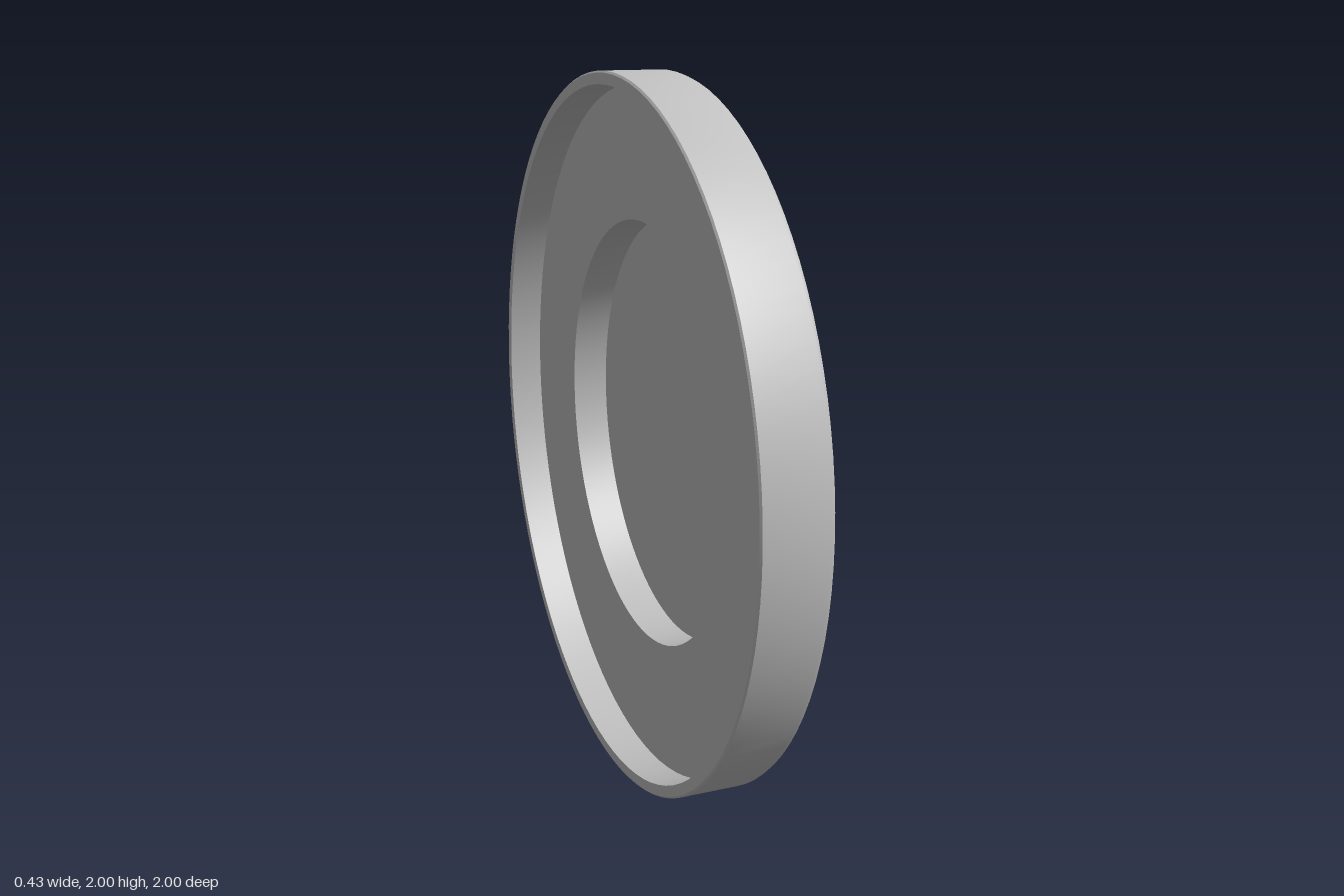
import * as THREE from 'three';
import { toCreasedNormals } from 'three/addons/utils/BufferGeometryUtils.js';

const SEG = 96;

export function createModel() {
  const model = new THREE.Group();
  const disc = new THREE.Group();
  disc.name = 'disc';
  disc.position.y = 1;
  model.add(disc);

  const steel = new THREE.MeshStandardMaterial({ color: 0xbfbfbf });
  steel.name = 'steel grey';

  function add(name, geometry) {
    const mesh = new THREE.Mesh(geometry, steel);
    mesh.name = name;
    disc.add(mesh);
    return mesh;
  }

  // Turned surface around the x axis from [radius, x] points
  function turned(profile, segments = SEG) {
    const points = profile.map(([r, x]) => new THREE.Vector2(r, x));
    const geometry = new THREE.LatheGeometry(points, segments);
    geometry.rotateZ(-Math.PI / 2);
    return toCreasedNormals(geometry, 0.5);
  }

  // Centres of evenly spaced holes as [u, v]
  function circlePattern(count, radius, offset = 0) {
    return Array.from({ length: count }, (_, i) => {
      const a = offset + (i / count) * Math.PI * 2;
      return [Math.cos(a) * radius, Math.sin(a) * radius];
    });
  }

  // Flat ring facing +x with a central opening and a pattern of holes
  function piercedRing(outer, inner, x, centres, holeRadius) {
    const shape = new THREE.Shape().absarc(0, 0, outer, 0, Math.PI * 2);
    shape.holes.push(new THREE.Path().absarc(0, 0, inner, 0, Math.PI * 2, true));
    for (const [u, v] of centres) {
      shape.holes.push(new THREE.Path().absarc(u, v, holeRadius, 0, Math.PI * 2, true));
    }
    const geometry = new THREE.ShapeGeometry(shape, SEG / 2);
    geometry.rotateY(Math.PI / 2);
    geometry.translate(x, 0, 0);
    return geometry;
  }

  // Blind pockets placed at the hole centres
  function pockets(name, centres, profile) {
    const geometry = turned(profile, SEG);
    for (const [u, v] of centres) add(name, geometry).position.set(0, v, -u);
  }

  // Hollow back, outer rim and conical front
  add('body', turned([
    [0, -0.01], [0.6, -0.01], [0.6, -0.115], [0.965, -0.115], [0.965, -0.215],
    [0.995, -0.215], [1, -0.21], [1, -0.038], [0.995, -0.027], [0.74, 0.078], [0.735, 0.082],
  ]));

  // Flat front with shallow dimples
  const dimples = circlePattern(20, 0.65, Math.PI / 20);
  add('frontFace', piercedRing(0.735, 0.505, 0.082, dimples, 0.072));
  pockets('dimple', dimples, [[0.072, 0.082], [0.065, 0.07], [0, 0.07]]);

  // Raised hub with filleted base
  add('hubWall', turned([
    [0.505, 0.082], [0.492, 0.086], [0.484, 0.093], [0.48, 0.106],
    [0.48, 0.205], [0.471, 0.215],
  ]));

  // Hub face with blind bolt holes
  const bolts = circlePattern(8, 0.38);
  add('hubFace', piercedRing(0.471, 0.25, 0.215, bolts, 0.061));
  pockets('boltHole', bolts, [[0.061, 0.215], [0.061, 0.06], [0, 0.06]]);

  // Central bore with chamfered mouth and floor
  add('bore', turned([[0.25, 0.215], [0.24, 0.205], [0.24, 0.06], [0, 0.06]]));

  return model;
}
